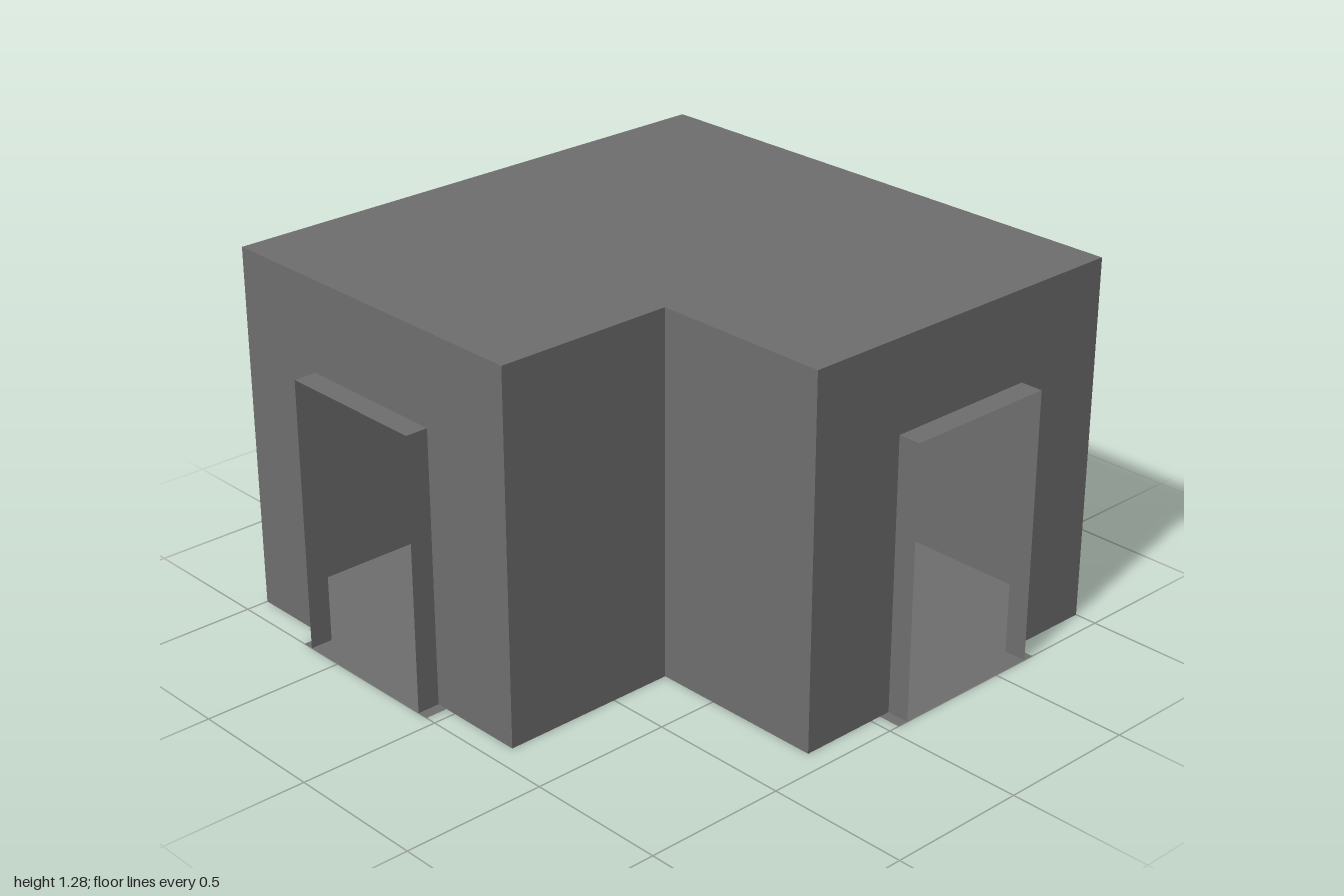
import * as THREE from 'three';

const H = 1.28, DOOR_H = 0.96, DEPTH = 0.08;
const D0 = 0.36, D1 = 0.92, LIP = 0.04; // door span along its wall, sill overhang

// L-shaped footprint as [x, z], running anticlockwise seen from above
const plan = [[-1, 0.92], [0.28, 0.92], [0.28, 0.28], [0.92, 0.28], [0.92, -1], [-1, -1]];
const doorWalls = [0, 3];

export function createModel() {
  const model = new THREE.Group();
  const mat = new THREE.MeshStandardMaterial({ color: 0x6e6e6e, side: THREE.DoubleSide });

  const add = (parent, name, geometry) => {
    const mesh = new THREE.Mesh(geometry, mat);
    mesh.name = name;
    parent.add(mesh);
    return mesh;
  };
  const sheet = (points) =>
    new THREE.ShapeGeometry(new THREE.Shape(points.map(([x, y]) => new THREE.Vector2(x, y))));

  const floorOutline = [];

  plan.forEach(([x, z], i) => {
    const [nx, nz] = plan[(i + 1) % plan.length];
    const length = Math.hypot(nx - x, nz - z);
    const hasDoor = doorWalls.includes(i);

    // Each wall is built along local x, facing outward along local z
    const side = new THREE.Group();
    side.name = hasDoor ? 'doorwaySide' : 'plainSide';
    side.position.set(x, 0, z);
    side.rotation.y = Math.atan2(-(nz - z), nx - x);
    model.add(side);

    const notch = hasDoor ? [[D0, 0], [D0, DOOR_H], [D1, DOOR_H], [D1, 0]] : [];
    add(side, 'wall', sheet([[0, 0], ...notch, [length, 0], [length, H], [0, H]]));

    // Thin door surround projecting from the wall
    if (hasDoor) {
      for (const d of [D0, D1]) {
        const jamb = add(side, 'doorJamb', new THREE.PlaneGeometry(DEPTH, DOOR_H));
        jamb.position.set(d, DOOR_H / 2, DEPTH / 2);
        jamb.rotation.y = d === D0 ? -Math.PI / 2 : Math.PI / 2;
      }
      const head = add(side, 'doorHead', new THREE.PlaneGeometry(D1 - D0, DEPTH));
      head.position.set((D0 + D1) / 2, DOOR_H, DEPTH / 2);
      head.rotation.x = -Math.PI / 2;
    }

    // Floor edge follows the wall and steps out under each doorway
    const dx = (nx - x) / length, dz = (nz - z) / length;
    const at = (along, out) => [x + dx * along - dz * out, -(z + dz * along + dx * out)];
    floorOutline.push(at(0, 0));
    if (hasDoor) {
      const a = D0 - LIP, b = D1 + LIP;
      floorOutline.push(at(a, 0), at(a, DEPTH), at(b, DEPTH), at(b, 0));
    }
  });

  // Floor with sills, and flat roof
  add(model, 'floor', sheet(floorOutline)).rotation.x = -Math.PI / 2;
  const roof = add(model, 'roof', sheet(plan.map(([x, z]) => [x, -z])));
  roof.rotation.x = -Math.PI / 2;
  roof.position.y = H;

  return model;
}
